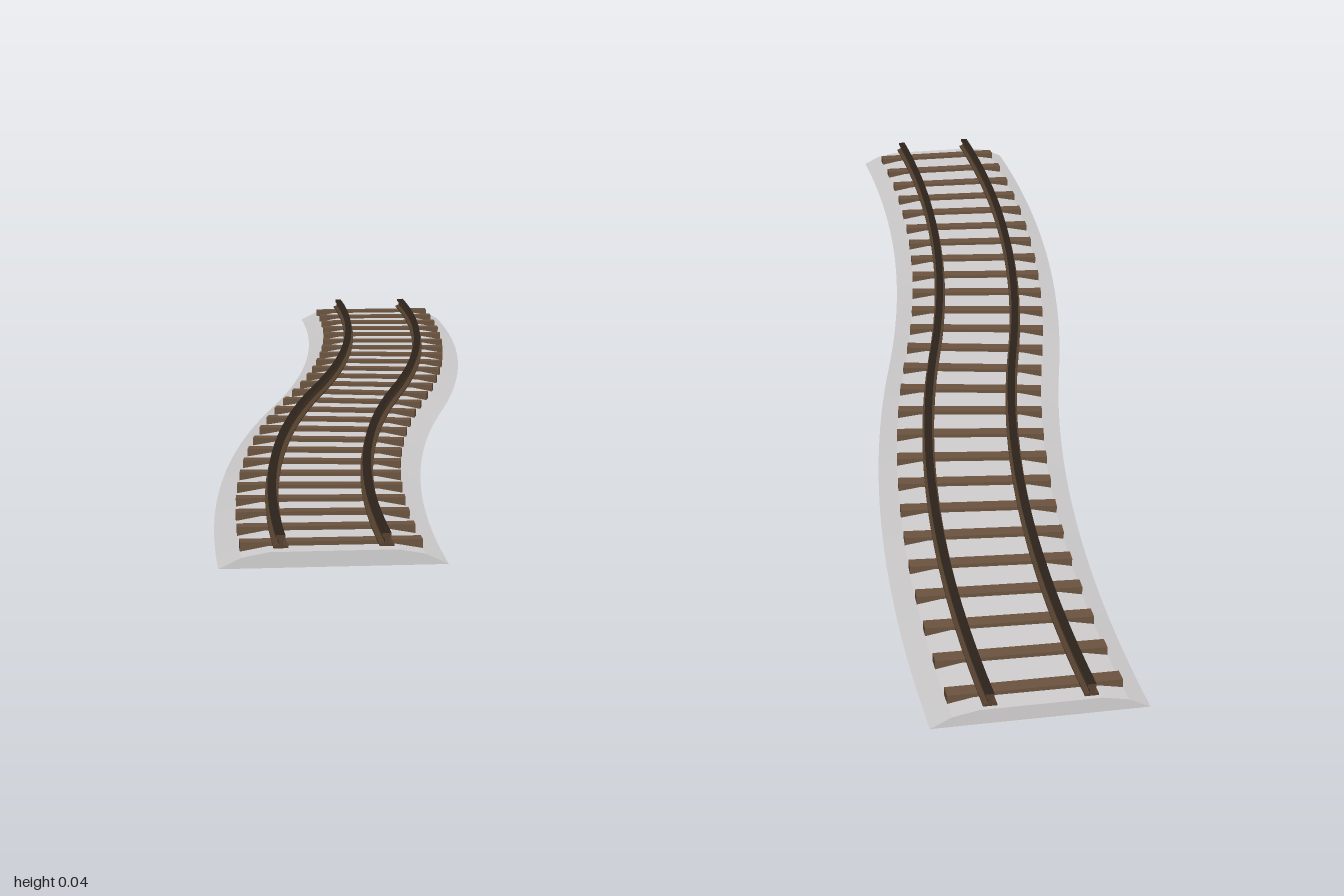
import * as THREE from 'three';

const THETA = 2 * Math.atan(0.125);       // turn of each of the two arcs
const R = 1 / Math.sin(THETA);            // arc radius
const STEPS = 48, SLEEPERS = 26, GAUGE = 0.0575;

// Point and heading on the S-shaped centre line, t from 0 (front) to 1 (back)
function track(t) {
  const first = t <= 0.5;
  const a = 2 * THETA * (first ? t : 1 - t);
  const x = -0.125 + R * (1 - Math.cos(a)), z = 1 - R * Math.sin(a);
  return first ? { x, z, a } : { x: -x, z: -z, a };
}

// Sweep a profile of [across, height] points along the track, sharp between its strips
function sweep(profile, offset = 0) {
  const pos = [], index = [];
  for (let k = 0; k < profile.length - 1; k++) {
    const base = pos.length / 3;
    for (let i = 0; i <= STEPS; i++) {
      const p = track(i / STEPS);
      for (const [u, y] of [profile[k], profile[k + 1]]) {
        const d = u + offset;
        pos.push(p.x + d * Math.cos(p.a), y, p.z + d * Math.sin(p.a));
      }
      if (i < STEPS) {
        const b = base + i * 2;
        index.push(b, b + 1, b + 2, b + 1, b + 3, b + 2);
      }
    }
  }
  const g = new THREE.BufferGeometry();
  g.setAttribute('position', new THREE.Float32BufferAttribute(pos, 3));
  g.setIndex(index);
  g.computeVertexNormals();
  return g;
}

export function createModel() {
  const model = new THREE.Group();
  model.name = 'curvedTrack';
  const material = (name, color, side = THREE.FrontSide) => {
    const m = new THREE.MeshStandardMaterial({ color, side });
    m.name = name;
    return m;
  };
  const gravel = material('paleGravel', 0xd0cecf, THREE.DoubleSide);
  const wood = material('sleeperWood', 0x6b543f);
  const rust = material('railRust', 0x55412f);
  const steel = material('darkRailTop', 0x2b221b);

  const add = (name, geometry, mat) => {
    const mesh = new THREE.Mesh(geometry, mat);
    mesh.name = name;
    model.add(mesh);
    return mesh;
  };
  // Matching end faces at the front and back of the track
  const addEnds = (name, profile, mat, offset = 0) => {
    const shape = new THREE.Shape(profile.map(([u, y]) => new THREE.Vector2(u + offset, y)));
    const geometry = new THREE.ShapeGeometry(shape);
    for (const s of [1, -1]) {
      const end = add(name, geometry, mat);
      end.position.set(-0.125 * s, 0, s);
      end.rotation.y = s > 0 ? 0 : Math.PI;
    }
  };

  // Gravel bed, open underneath
  const bed = [[-0.125, 0], [-0.1, 0.012], [-0.07, 0.0175], [0.07, 0.0175], [0.1, 0.012], [0.125, 0]];
  add('gravelBed', sweep(bed), gravel);
  addEnds('gravelBedEnd', bed, gravel);

  // Sleepers, evenly spaced and square to the track
  const sleeperGeometry = new THREE.BoxGeometry(0.2, 0.011, 0.02);
  for (let i = 0; i < SLEEPERS; i++) {
    const p = track((i + 0.5) / SLEEPERS);
    const sleeper = add('sleeper', sleeperGeometry, wood);
    sleeper.position.set(p.x, 0.0165, p.z);
    sleeper.rotation.y = -p.a;
  }

  // Rails with a wide foot, thin web and dark running surface
  const left = [[-0.008, 0.0215], [-0.008, 0.0235], [-0.0025, 0.0255], [-0.0025, 0.03], [-0.005, 0.032], [-0.005, 0.036]];
  const right = left.map(([u, y]) => [-u, y]).reverse();
  for (const side of [-1, 1]) {
    const d = side * GAUGE;
    add('railLeftFace', sweep(left, d), rust);
    add('railRightFace', sweep([...right, left[0]], d), rust);
    add('railTop', sweep([left[5], right[0]], d), steel);
    addEnds('railEnd', [...left, ...right], rust, d);
  }
  return model;
}
